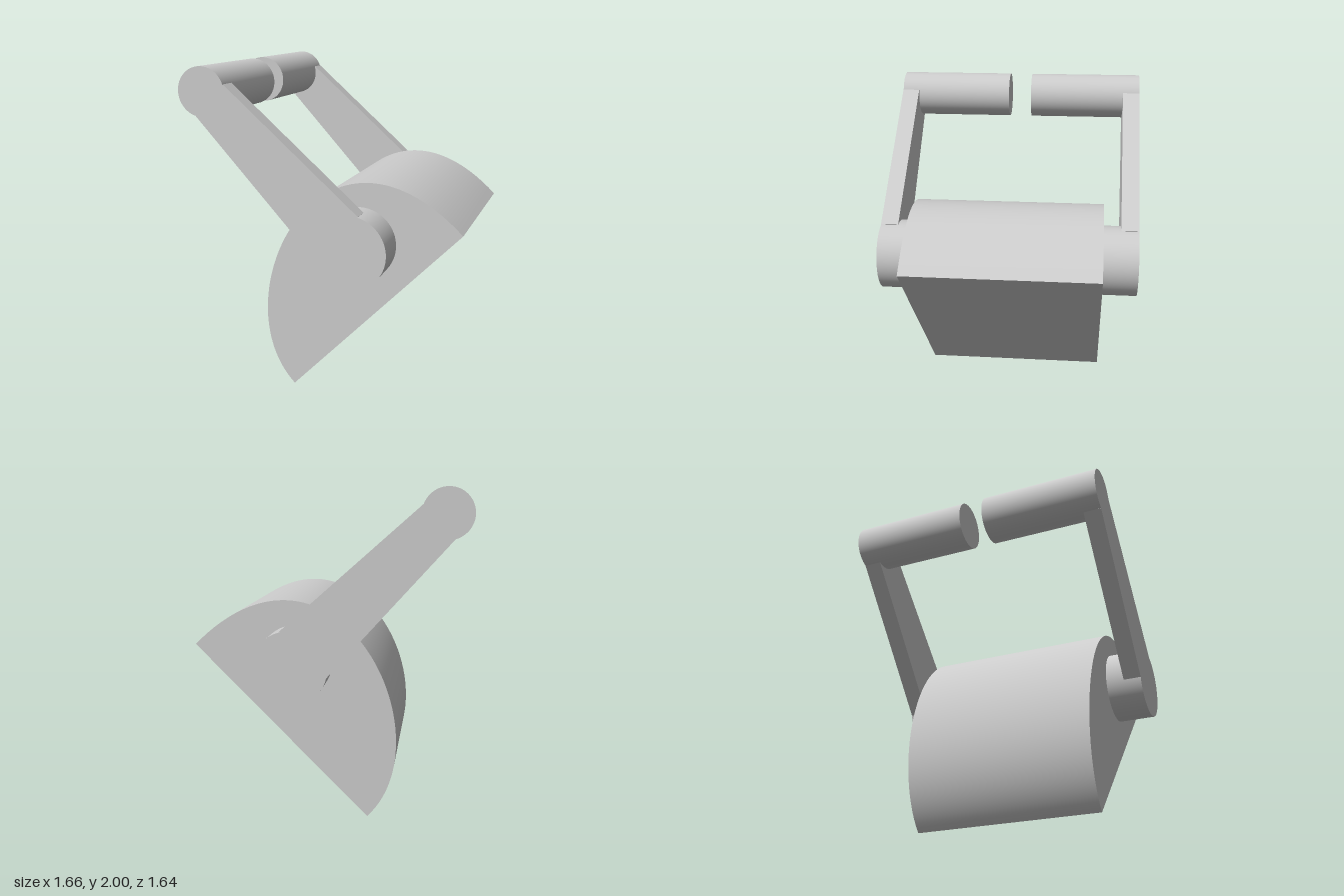
import * as THREE from 'three';
import { toCreasedNormals } from 'three/addons/utils/BufferGeometryUtils.js';

const grey = new THREE.MeshStandardMaterial({ color: 0xcccccc });

// Extrude a profile from z0 to z1, smooth along its curve and sharp at its edges
function slab(name, shape, z0, z1) {
  const geo = new THREE.ExtrudeGeometry(shape, { depth: z1 - z0, bevelEnabled: false, curveSegments: 64 });
  geo.translate(0, 0, z0);
  const mesh = new THREE.Mesh(toCreasedNormals(geo, Math.PI / 6), grey);
  mesh.name = name;
  return mesh;
}

// Cylinder along z from z0 to z1
function rod(name, x, y, r, z0, z1) {
  const geo = new THREE.CylinderGeometry(r, r, z1 - z0, 64);
  geo.rotateX(Math.PI / 2);
  const mesh = new THREE.Mesh(geo, grey);
  mesh.name = name;
  mesh.position.set(x, y, (z0 + z1) / 2);
  return mesh;
}

export function createModel() {
  const group = new THREE.Group();
  group.name = 'leverBlock';

  // Domed body: flat slanted face closed by a lopsided bulge
  const dome = new THREE.Shape();
  dome.moveTo(-0.225, 0);
  dome.lineTo(0.827, 1.055);
  dome.bezierCurveTo(-0.045, 1.927, -0.733, 0.508, -0.225, 0);
  group.add(slab('body', dome, -0.594, 0.594));

  // Tapered arm between pivot and grip
  const arm = new THREE.Shape([
    [0, 0.907], [0.266, 1.18], [-0.542, 1.9], [-0.723, 1.712],
  ].map(([x, y]) => new THREE.Vector2(x, y)));

  // Each side: pivot boss, arm and inward grip
  for (const [side, s] of [['front', 1], ['back', -1]]) {
    const span = (a, b) => (s > 0 ? [a, b] : [-b, -a]);
    group.add(
      rod(side + 'Pivot', 0.21, 0.962, 0.221, ...span(0.58, 0.818)),
      slab(side + 'Arm', arm, ...span(0.707, 0.818)),
      rod(side + 'Grip', -0.684, 1.854, 0.146, ...span(0.076, 0.818)),
    );
  }
  return group;
}
